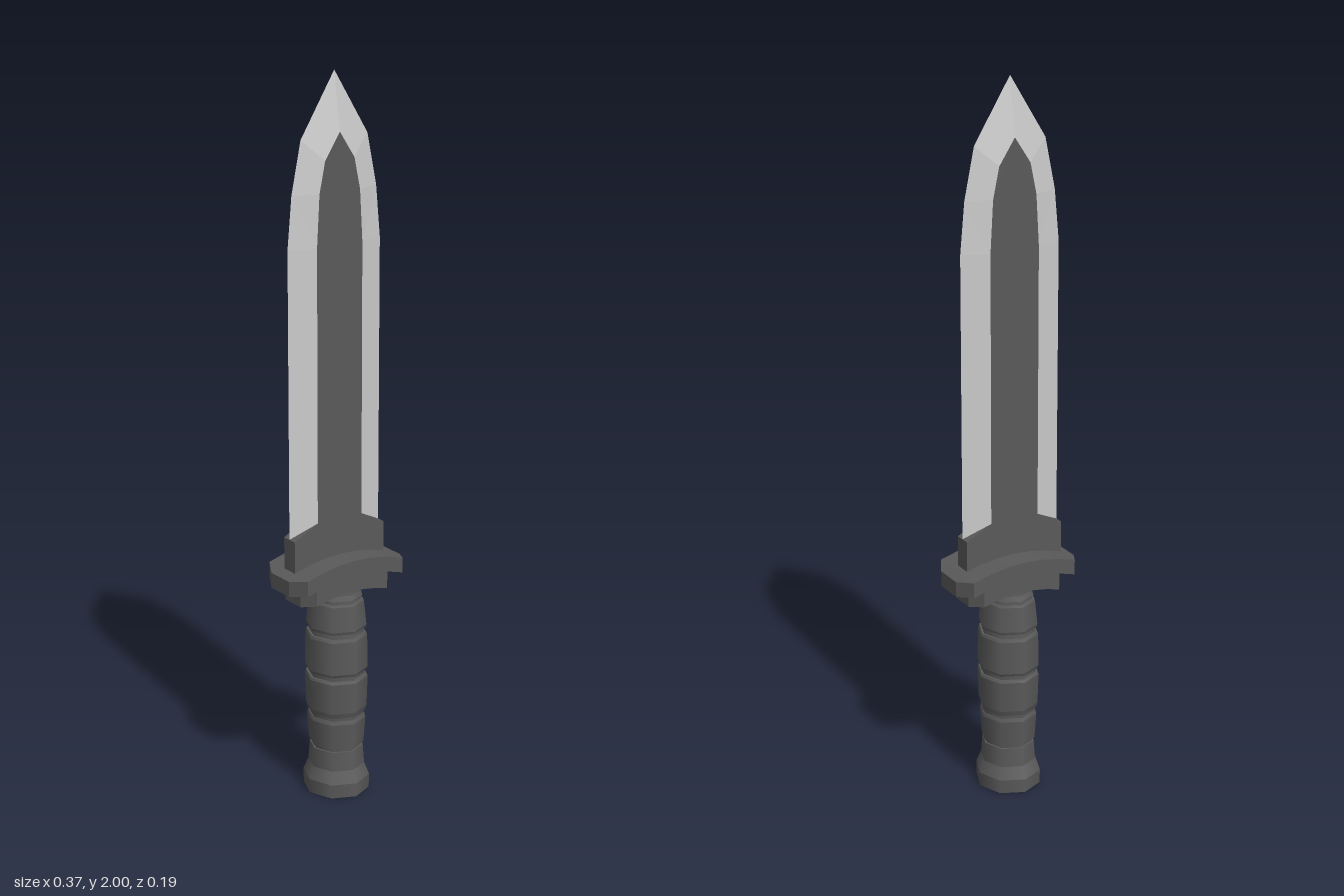
import * as THREE from 'three';

const dark = new THREE.MeshStandardMaterial({ color: 0x5a5a5a, flatShading: true });
const grip = new THREE.MeshStandardMaterial({ color: 0x5a5a5a });
const steel = new THREE.MeshStandardMaterial({ color: 0xcccccc, flatShading: true });

const BLADE_X = -0.006;
// Half outlines of the blade, from its base to its tip
const outer = [[0.147, 0.757], [0.147, 1.55], [0.134, 1.69], [0.105, 1.83], [0, 2]];
const inner = [[0.072, 0.8], [0.072, 1.55], [0.064, 1.69], [0.046, 1.775], [0, 1.845]];
const HALF_THICK = 0.025;

function add(group, name, geometry, material) {
  const mesh = new THREE.Mesh(geometry, material);
  mesh.name = name;
  group.add(mesh);
  return mesh;
}

// Flat core of the blade together with its full-width base
function bladeCore() {
  const half = [[0.147, 0.66], [0.147, 0.762], ...inner];
  const mirrored = half.slice(0, -1).reverse().map(([x, y]) => [-x, y]);
  const shape = new THREE.Shape([...half, ...mirrored].map(([x, y]) => new THREE.Vector2(x, y)));
  const g = new THREE.ExtrudeGeometry(shape, { depth: 2 * HALF_THICK, bevelEnabled: false });
  return g.translate(BLADE_X, 0, -HALF_THICK);
}

// Ground edges sloping from the core to a sharp rim
function bladeBevels() {
  const pos = [];
  for (const sx of [1, -1]) for (const sz of [1, -1]) {
    for (let i = 0; i < outer.length - 1; i++) {
      const p = (list, k, z) => [sx * list[k][0] + BLADE_X, list[k][1], sz * z];
      const a = p(inner, i, HALF_THICK), b = p(outer, i, 0);
      const c = p(outer, i + 1, 0), d = p(inner, i + 1, HALF_THICK);
      const tris = sx * sz > 0 ? [a, b, c, a, c, d] : [a, c, b, a, d, c];
      pos.push(...tris.flat());
    }
  }
  const g = new THREE.BufferGeometry();
  g.setAttribute('position', new THREE.Float32BufferAttribute(pos, 3));
  g.computeVertexNormals();
  return g;
}

// Arched plate with chamfered corners; the last column at each end is the chamfer
function archedPlate(halfX, chamferX, halfZ, endZ, topY, bottomY, drop) {
  const n = 8;
  const g = new THREE.BoxGeometry(2, 2, 2, n, 1, 1);
  const p = g.attributes.position;
  for (let i = 0; i < p.count; i++) {
    const u = p.getX(i), end = Math.abs(u) > 0.99;
    const x = end ? u * halfX : u * chamferX * n / (n - 2);
    const y = (p.getY(i) > 0 ? topY : bottomY) - drop * (x / halfX) ** 2;
    p.setXYZ(i, x, y, p.getZ(i) * (end ? endZ : halfZ));
  }
  g.computeVertexNormals();
  return g;
}

// Eight-sided turned section, slightly deeper than wide
function turned(points) {
  const lathe = [];
  for (let i = 0; i < points.length - 1; i++) {
    const [r0, y0] = points[i], [r1, y1] = points[i + 1];
    const open = i > 0 && i < points.length - 2;
    const g = new THREE.CylinderGeometry(r1, r0, y1 - y0, 8, 1, open);
    lathe.push(g.translate(0, (y0 + y1) / 2, 0).scale(1, 1, 1.06));
  }
  return lathe;
}

export function createModel() {
  const model = new THREE.Group();
  model.name = 'knife';

  const blade = new THREE.Group();
  blade.name = 'blade';
  add(blade, 'bladeCore', bladeCore(), dark);
  add(blade, 'bladeBevels', bladeBevels(), steel);
  model.add(blade);

  const guard = new THREE.Group();
  guard.name = 'guard';
  add(guard, 'guardPlate', archedPlate(0.184, 0.157, 0.092, 0.042, 0.698, 0.655, 0.036), dark);
  add(guard, 'guardCollar', archedPlate(0.143, 0.117, 0.076, 0.036, 0.662, 0.604, 0.026), dark);
  model.add(guard);

  // Pommel, grip rings and the thinner core showing in the grooves
  const handle = new THREE.Group();
  handle.name = 'handle';
  const sections = {
    pommel: [[0.09, 0], [0.091, 0.04], [0.077, 0.075], [0.073, 0.13]],
    gripRing1: [[0.075, 0.14], [0.08, 0.215], [0.077, 0.225]],
    gripRing2: [[0.079, 0.235], [0.083, 0.25], [0.086, 0.338], [0.083, 0.345]],
    gripRing3: [[0.083, 0.358], [0.086, 0.366], [0.084, 0.46], [0.081, 0.468]],
    gripRing4: [[0.08, 0.482], [0.082, 0.49], [0.075, 0.56], [0.073, 0.565]],
    gripRing5: [[0.071, 0.576], [0.066, 0.59], [0.062, 0.63]],
    gripCore: [[0.066, 0.1], [0.075, 0.23], [0.077, 0.36], [0.075, 0.47], [0.066, 0.57], [0.06, 0.63]],
  };
  for (const [name, points] of Object.entries(sections)) {
    const part = new THREE.Group();
    part.name = name;
    turned(points).forEach((g) => add(part, name + 'Section', g, grip));
    handle.add(part);
  }
  model.add(handle);
  return model;
}
